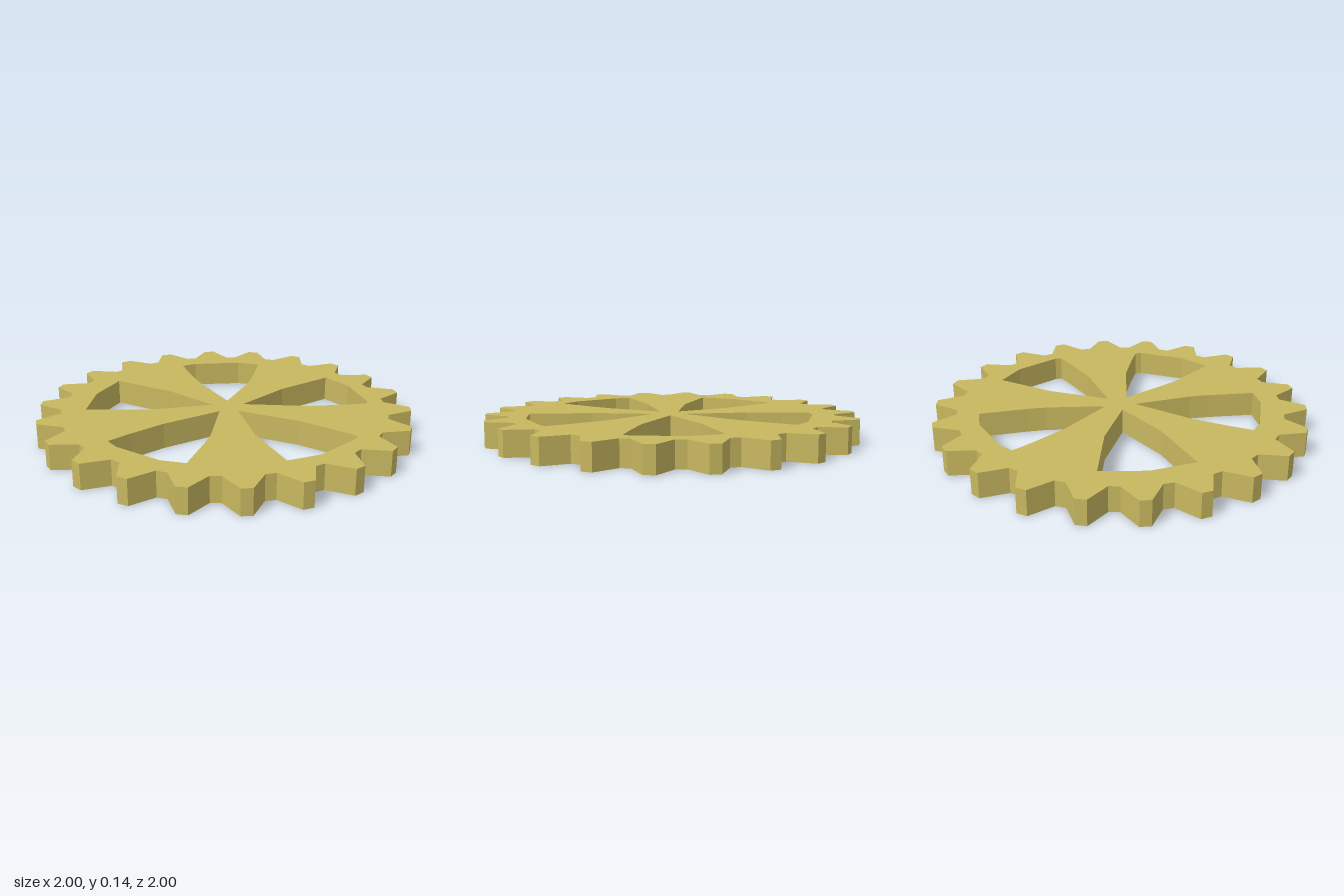
import * as THREE from 'three';

const TEETH = 22;
const THICKNESS = 0.135;
const TIP_RADIUS = 1.002;
const ROOT_RADIUS = 0.876;

// Toothed rim, counter-clockwise: each tooth has a narrow flat tip and sloping flanks
function gearOutline() {
  const points = [];
  const pitch = 360 / TEETH;
  const corners = [[-6.4, ROOT_RADIUS], [-1.63, TIP_RADIUS], [1.63, TIP_RADIUS], [6.4, ROOT_RADIUS]];
  for (let i = 0; i < TEETH; i++) {
    const centre = 94.1 + i * pitch;
    for (const [offset, radius] of corners) {
      const a = THREE.MathUtils.degToRad(centre + offset);
      points.push(new THREE.Vector2(radius * Math.cos(a), radius * Math.sin(a)));
    }
  }
  return points;
}

// Openings between the spokes, as [x, y] corners on the upper half of the wheel
const backOpening = [
  [0.021, 0.759], [-0.112, 0.759], [-0.364, 0.666], [-0.428, 0.612], [-0.353, 0.495],
  [-0.235, 0.329], [-0.005, 0.083], [0.037, 0.4], [0.037, 0.5],
];
const sideOpening = [
  [0.091, 0.053], [0.251, 0.35], [0.462, 0.612], [0.61, 0.5],
  [0.743, 0.27], [0.743, 0.235], [0.626, 0.185], [0.428, 0.112],
];
const endOpening = [
  [-0.064, 0], [-0.358, 0.147], [-0.706, 0.24], [-0.745, 0], [-0.706, -0.24], [-0.358, -0.147],
];

const toPath = (corners, flip = 1) =>
  new THREE.Path(corners.map(([x, y]) => new THREE.Vector2(x, y * flip)));

export function createModel() {
  const group = new THREE.Group();
  group.name = 'gearWheel';

  const brass = new THREE.MeshStandardMaterial({ color: 0xc8b860 });
  brass.name = 'brass';

  // Wheel plate with five openings, mirrored front to back
  const shape = new THREE.Shape(gearOutline());
  shape.holes.push(toPath(endOpening));
  for (const flip of [1, -1]) {
    shape.holes.push(toPath(backOpening, flip), toPath(sideOpening, flip));
  }

  const geometry = new THREE.ExtrudeGeometry(shape, { depth: THICKNESS, bevelEnabled: false });
  geometry.rotateX(-Math.PI / 2);

  const wheel = new THREE.Mesh(geometry, brass);
  wheel.name = 'spokedGear';
  group.add(wheel);
  return group;
}
